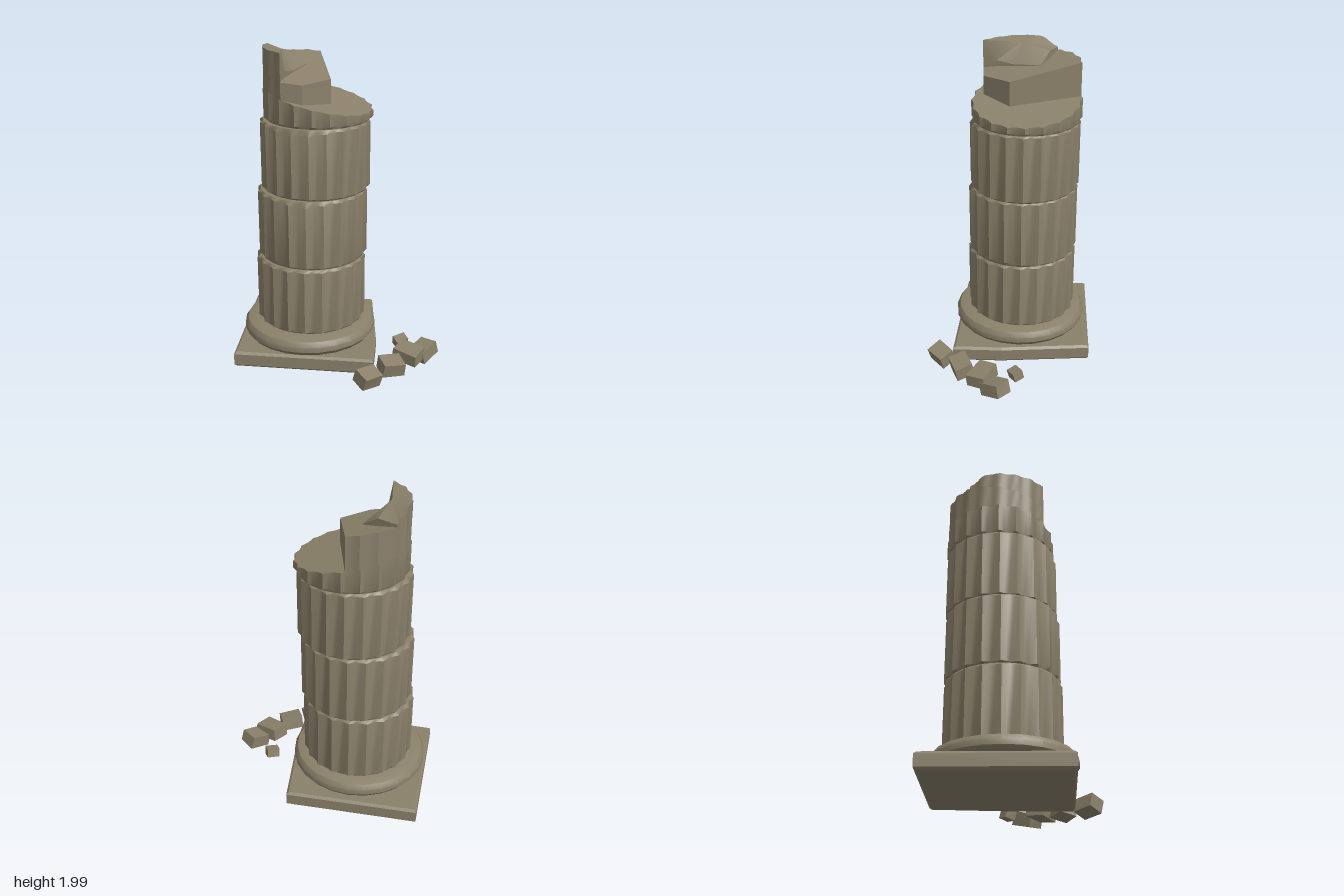
import * as THREE from 'three';
import { toCreasedNormals } from 'three/addons/utils/BufferGeometryUtils.js';

const stone = new THREE.MeshStandardMaterial({ color: 0x8a806a });
stone.name = 'weathered stone';

const FLUTES = 20, STEP = (Math.PI * 2) / (FLUTES * 4);
const V = (x, y, z) => new THREE.Vector3(x, y, z);

function add(parent, name, geometry) {
  const mesh = new THREE.Mesh(geometry, stone);
  mesh.name = name;
  parent.add(mesh);
  return mesh;
}

// Skin closed rings from bottom to top and cap both ends with fans
function loft(rings, bottomHub, topHub) {
  const pos = [];
  const tri = (...points) => points.forEach(p => pos.push(p.x, p.y, p.z));
  const n = rings[0].length;
  for (let i = 0; i < n; i++) {
    const j = (i + 1) % n;
    for (let k = 0; k + 1 < rings.length; k++) {
      const b = rings[k], t = rings[k + 1];
      tri(b[i], t[i], b[j]);
      tri(t[i], t[j], b[j]);
    }
    const first = rings[0], last = rings[rings.length - 1];
    tri(bottomHub, first[i], first[j]);
    tri(topHub, last[j], last[i]);
  }
  const g = new THREE.BufferGeometry();
  g.setAttribute('position', new THREE.Float32BufferAttribute(pos, 3));
  return toCreasedNormals(g, 0.6);
}

// Fluted radius at an angle: shallow scallops between sharp ridges
const fluted = (r, a) => r - 0.016 * Math.abs(Math.sin(a * FLUTES / 2));

// Points along a circle arc; radius and height are functions of the angle
function arc(cx, cz, from, to, radius, height) {
  const n = Math.round((to - from) / STEP), points = [];
  for (let i = 0; i <= n; i++) {
    const a = from + (to - from) * i / n;
    points.push(V(cx + radius(a) * Math.cos(a), height(a), cz + radius(a) * Math.sin(a)));
  }
  return points;
}
const circle = (cx, cz, radius, height) => arc(cx, cz, 0, Math.PI * 2, radius, height).slice(0, -1);

// Drum with worn rims; chips are [angle, width, depth] at the top or bottom
function drum({ x, z, r, y0, y1, top = [], bottom = [] }) {
  const wear = (chips, a) => chips.reduce((sum, [at, width, depth]) => {
    const d = Math.abs(Math.atan2(Math.sin(a - at), Math.cos(a - at)));
    return sum + depth * Math.max(0, 1 - d / width);
  }, 0);
  return loft([
    circle(x, z, () => r - 0.022, () => y0),
    circle(x, z, a => fluted(r, a), a => y0 + 0.012 + wear(bottom, a)),
    circle(x, z, a => fluted(r, a), a => y1 - 0.014 - wear(top, a)),
    circle(x, z, () => r - 0.022, () => y1),
  ], V(x, y0, z), V(x, y1, z));
}

// Rough block: a box whose corners are shifted by a seeded rule
function roughBlock(w, h, d, seed) {
  const g = new THREE.BoxGeometry(w, h, d).toNonIndexed();
  const p = g.attributes.position;
  for (let i = 0; i < p.count; i++) {
    const sx = Math.sign(p.getX(i)), sy = Math.sign(p.getY(i)), sz = Math.sign(p.getZ(i));
    const k = 0.07 * Math.sin(seed * 7.3 + sx * 2.1 + sy * 3.7 + sz * 5.9);
    p.setXYZ(i, p.getX(i) * (1 + k), p.getY(i) * (1 - k), p.getZ(i) * (1 + k * 0.7));
  }
  g.computeVertexNormals();
  return g;
}

export function createModel() {
  const model = new THREE.Group();
  model.name = 'ruinedColumn';

  // Square plinth with a broken right rear corner
  const bevel = 0.014;
  const corners = [[-0.635, 0.325], [0.242, 0.35], [0.242, 0.04], [0.187, -0.52], [-0.635, -0.52]];
  const outline = new THREE.Shape(corners.map(([x, z]) => new THREE.Vector2(
    x - bevel * Math.sign(x + 0.2), -(z - bevel * Math.sign(z + (x > 0.2 && z < 0.2 ? -z : 0.08))))));
  const slab = new THREE.ExtrudeGeometry(outline, {
    depth: 0.1 - 2 * bevel, bevelEnabled: true, bevelThickness: bevel, bevelSize: bevel, bevelSegments: 1,
  });
  slab.rotateX(-Math.PI / 2);
  add(model, 'plinth', slab).position.y = 0.045 + bevel;

  // Rounded base moulding
  const profile = [[0, 0.14], [0.37, 0.14], [0.405, 0.156], [0.425, 0.182], [0.425, 0.215],
    [0.405, 0.245], [0.36, 0.258], [0, 0.262]].map(([r, y]) => new THREE.Vector2(r, y));
  const base = toCreasedNormals(new THREE.LatheGeometry(profile, 24), 0.6);
  add(model, 'baseMoulding', base).position.set(-0.2, 0, -0.065);

  // Three fluted drums, each shifted a little from the one below
  const drums = [
    { x: -0.19, z: -0.074, r: 0.347, y0: 0.258, y1: 0.69 },
    { x: -0.177, z: -0.08, r: 0.344, y0: 0.692, y1: 1.13, top: [[1.6, 0.5, 0.022]], bottom: [[2.2, 0.4, 0.02], [0.4, 0.6, 0.02]] },
    { x: -0.157, z: -0.09, r: 0.34, y0: 1.132, y1: 1.565, top: [[1.75, 0.7, 0.028]] },
  ];
  drums.forEach((d, i) => add(model, `drum${i + 1}`, drum(d)));

  // Broken top drum: three tiers sharing one fluted rim
  const cx = -0.138, cz = -0.1, r = 0.337;
  const rim = a => fluted(r, a);
  const low = (x, z) => 1.67 - 0.22 * (x + 0.05) - 0.03 * z;
  const mid = (x, z) => 1.82 - 0.15 * (x + 0.05) - 0.18 * z;
  const onRim = f => a => f(cx + rim(a) * Math.cos(a), cz + rim(a) * Math.sin(a));
  const lay = (points, f) => points.map(p => V(p.x, f(p.x, p.z), p.z));

  add(model, 'brokenDrumLower', loft([
    circle(cx, cz, () => r - 0.02, () => 1.567),
    circle(cx, cz, rim, () => 1.582),
    circle(cx, cz, rim, onRim(low)),
  ], V(cx, 1.567, cz), V(cx, low(cx, cz), cz)));

  const midTop = [...arc(cx, cz, 2.17, 4.65, rim, onRim(mid)),
    V(-0.05, 1.82, 0), V(-0.2, mid(-0.2, 0.165), 0.165)];
  add(model, 'brokenDrumMiddle', loft([lay(midTop, low), midTop],
    V(-0.25, low(-0.25, -0.08), -0.08), V(-0.25, mid(-0.25, -0.08), -0.08)));

  const peakTop = [...arc(cx, cz, 2.17, 3.73, rim, a => 2 - 0.17 * Math.max(0, a - 3.38)),
    V(-0.3, 1.945, -0.235), V(-0.21, 1.88, -0.18), V(-0.27, 1.865, -0.02), V(-0.31, 1.88, 0.09)];
  add(model, 'brokenDrumPeak', loft([lay(peakTop, mid), peakTop],
    V(-0.35, mid(-0.35, -0.06), -0.06), V(-0.35, 1.985, -0.06)));

  // Fallen rubble: size, centre, rotation
  const rubble = [
    [[0.08, 0.06, 0.065], [0.4, 0.07, -0.058], [0.25, 0.57, 0.15]],
    [[0.115, 0.085, 0.14], [0.548, 0.073, 0.062], [0.25, -0.65, 0.1]],
    [[0.165, 0.08, 0.125], [0.453, 0.096, 0.145], [0.1, -0.49, -0.08]],
    [[0.145, 0.085, 0.115], [0.348, 0.083, 0.288], [0.2, 0.42, -0.1]],
    [[0.14, 0.085, 0.105], [0.215, 0.073, 0.428], [0.33, 0.74, -0.12]],
  ];
  rubble.forEach(([size, at, turn], i) => {
    const block = add(model, `rubble${i + 1}`, roughBlock(...size, i + 1));
    block.position.set(...at);
    block.rotation.set(turn[0], turn[1], turn[2], 'YXZ');
  });

  return model;
}
